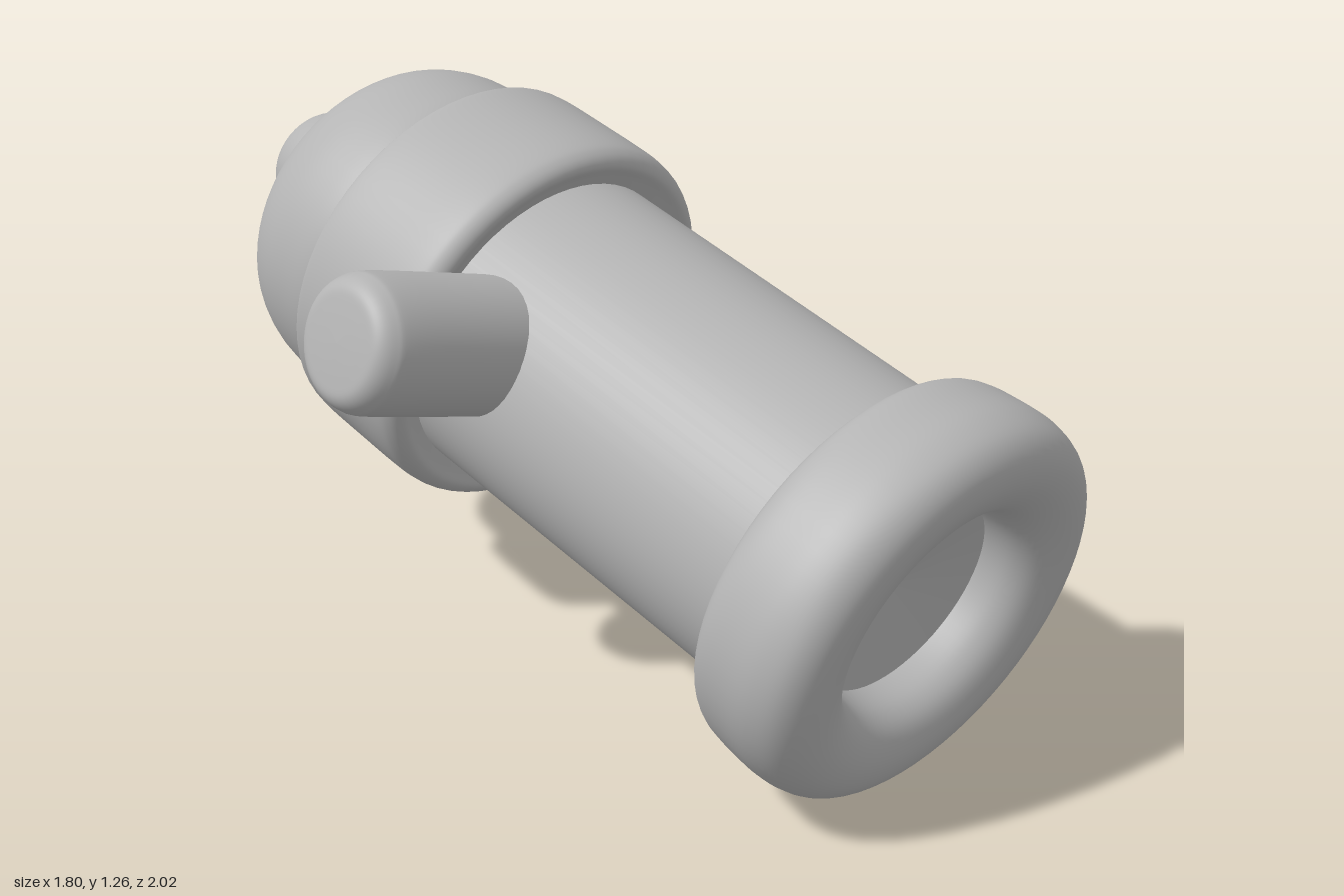
import * as THREE from 'three';

const iron = new THREE.MeshStandardMaterial({ color: 0xb4b4b4 });
iron.name = 'grey iron';

// Smoothly turned part; profile runs [radius, axial position] from back to front,
// wide and tall make the section slightly oval
function turned(name, profile, { wide = 1, tall = 1, samples = 60, sides = 64 } = {}) {
  const curve = new THREE.SplineCurve(profile.map(([r, a]) => new THREE.Vector2(r, a)));
  const pts = curve.getPoints(samples);
  pts.forEach((p) => { p.x = Math.max(p.x, 0); });
  const geometry = new THREE.LatheGeometry(pts, sides).scale(wide, 1, tall);
  const mesh = new THREE.Mesh(geometry, iron);
  mesh.name = name;
  return mesh;
}

export function createModel() {
  const model = new THREE.Group();
  model.name = 'cannon';

  // The barrel's +y axis points out of the muzzle; origin at the muzzle ring
  const barrel = new THREE.Group();
  barrel.name = 'barrel';

  const tube = new THREE.Mesh(
    new THREE.CylinderGeometry(0.375, 0.378, 1.3, 64, 1, true).scale(1.035, 1, 1), iron);
  tube.name = 'barrelTube';
  tube.position.set(0.005, -0.66, 0);
  barrel.add(tube);

  // Rounded muzzle lip rolling into the bore
  barrel.add(turned('muzzleRing', [
    [0.35, -0.12], [0.39, -0.142], [0.435, -0.135], [0.462, -0.1], [0.472, -0.02],
    [0.472, 0.05], [0.453, 0.108], [0.41, 0.143], [0.35, 0.15], [0.29, 0.128],
    [0.255, 0.085], [0.24, 0.02], [0.24, -0.01],
  ], { wide: 1.055, tall: 0.98 }));

  // Shallow dished floor of the bore
  const floor = new THREE.Mesh(new THREE.LatheGeometry(
    [new THREE.Vector2(0.25, 0.02), new THREE.Vector2(0, -0.03)], 48).scale(1.055, 1, 0.98), iron);
  floor.name = 'boreFloor';
  barrel.add(floor);

  // Reinforcing band around the breech
  const band = turned('breechBand', [
    [0.36, -1.478], [0.42, -1.48], [0.452, -1.475], [0.462, -1.45], [0.465, -1.3],
    [0.465, -1.18], [0.455, -1.135], [0.43, -1.115], [0.4, -1.125], [0.36, -1.14],
  ], { wide: 1.04 });
  band.position.x = 0.008;
  barrel.add(band);

  // Rounded breech cap
  barrel.add(turned('breechCap', [
    [0, -1.88], [0.12, -1.875], [0.23, -1.855], [0.32, -1.81], [0.385, -1.745],
    [0.42, -1.66], [0.43, -1.56], [0.425, -1.49], [0.4, -1.44],
  ], { tall: 0.98 }));

  // Knob at the tail
  barrel.add(turned('tailKnob', [
    [0, -2.08], [0.065, -2.07], [0.12, -2.035], [0.15, -1.98], [0.157, -1.92], [0.157, -1.82],
  ], { samples: 30, sides: 40 }));

  // Side pins, rolled around the barrel and slightly skewed along it
  const pins = new THREE.Group();
  pins.name = 'sidePins';
  pins.position.set(-0.05, -0.986, -0.05);
  pins.rotation.set(0, -0.285, 0.082);
  for (const side of [1, -1]) {
    const pin = turned(side > 0 ? 'leftPin' : 'rightPin', [
      [0.158, 0.2], [0.157, 0.4], [0.155, 0.6], [0.147, 0.65], [0.122, 0.68], [0.08, 0.687], [0, 0.69],
    ], { samples: 36, sides: 40 });
    pin.rotation.z = -side * Math.PI / 2;
    pins.add(pin);
  }
  barrel.add(pins);

  // Aim the barrel forward, to its left and downward
  const yaw = THREE.MathUtils.degToRad(38.3);
  const pitch = THREE.MathUtils.degToRad(13.9);
  const aim = new THREE.Vector3(
    Math.sin(yaw) * Math.cos(pitch), -Math.sin(pitch), Math.cos(yaw) * Math.cos(pitch));
  const across = new THREE.Vector3(Math.cos(yaw), 0, -Math.sin(yaw));
  const under = new THREE.Vector3().crossVectors(across, aim);
  barrel.quaternion.setFromRotationMatrix(new THREE.Matrix4().makeBasis(across, aim, under));
  barrel.position.set(0.45, 0.463, 0.613);

  model.add(barrel);
  return model;
}
